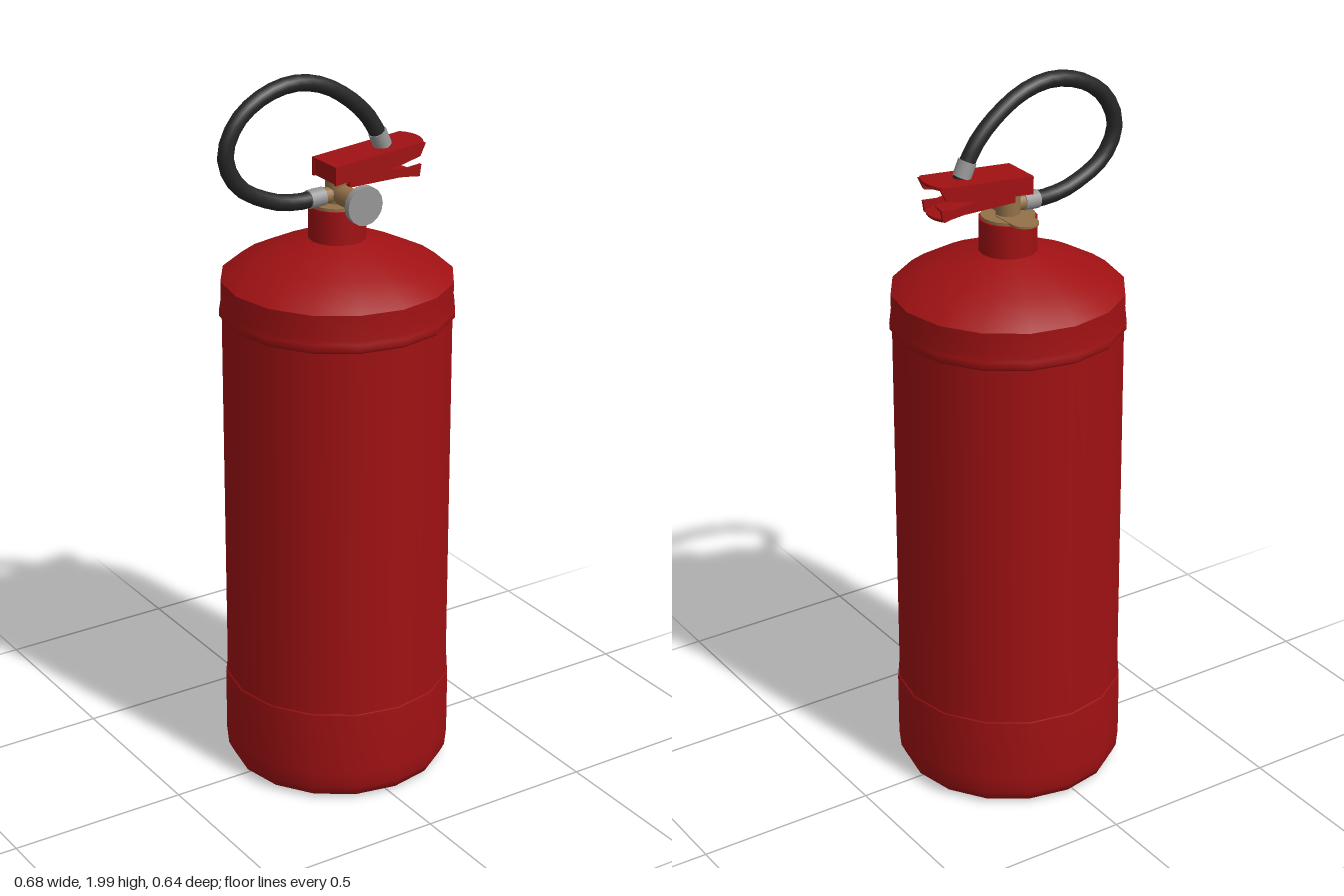
import * as THREE from 'three';

const CX = 0.022; // axis of the cylinder

const paint = (name, color) => {
  const m = new THREE.MeshStandardMaterial({ color });
  m.name = name;
  return m;
};

export function createModel() {
  const red = paint('red enamel', 0xa01113);
  const brass = paint('brass', 0x93724a);
  const black = paint('black rubber', 0x262626);
  const steel = paint('steel', 0x969696);
  const group = new THREE.Group();
  group.name = 'fireExtinguisher';

  const add = (name, geometry, material, x = 0, y = 0, z = 0) => {
    const mesh = new THREE.Mesh(geometry, material);
    mesh.name = name;
    mesh.position.set(x, y, z);
    group.add(mesh);
    return mesh;
  };
  const lathe = (name, points, material) =>
    add(name, new THREE.LatheGeometry(points.map(([r, y]) => new THREE.Vector2(r, y)), 16), material, CX);
  // Cylinder running between two points
  const rod = (name, a, b, r, material, r2 = r) => {
    const from = new THREE.Vector3(...a), to = new THREE.Vector3(...b);
    const dir = to.clone().sub(from);
    const mesh = add(name, new THREE.CylinderGeometry(r2, r, dir.length(), 16), material);
    mesh.position.copy(from).add(to).multiplyScalar(0.5);
    mesh.quaternion.setFromUnitVectors(new THREE.Vector3(0, 1, 0), dir.normalize());
    return mesh;
  };

  // Tank: base cup, wall, shoulder bead, dome and neck
  lathe('baseCup', [[0, 0.005], [0.27, 0.005], [0.298, 0.014], [0.311, 0.04], [0.316, 0.09], [0.316, 0.27], [0.311, 0.272]], red);
  lathe('tankWall', [[0.311, 0.26], [0.311, 1.345]], red);
  lathe('shoulder', [[0.311, 1.33], [0.318, 1.338], [0.318, 1.356], [0.313, 1.366], [0.313, 1.435]], red);
  lathe('dome', [[0.313, 1.435], [0.272, 1.464], [0.22, 1.49], [0.15, 1.52], [0.076, 1.542]], red);
  add('neck', new THREE.CylinderGeometry(0.078, 0.078, 0.1, 16), red, CX, 1.582);

  // Valve: round flange with a rounded rear tongue, and the stem
  const tag = new THREE.Shape();
  tag.moveTo(-0.038, 0);
  tag.lineTo(-0.038, -0.077);
  tag.absarc(0, -0.077, 0.038, Math.PI, Math.PI * 2, false);
  tag.lineTo(0.038, 0);
  const tongue = new THREE.ExtrudeGeometry(tag, { depth: 0.006, bevelEnabled: false });
  tongue.rotateX(Math.PI / 2);
  add('valveTongue', tongue, brass, CX, 1.642);
  add('valveFlange', new THREE.CylinderGeometry(0.072, 0.072, 0.008, 20), brass, CX, 1.636);
  add('valveStem', new THREE.CylinderGeometry(0.033, 0.033, 0.085, 16), brass, CX, 1.673);

  // Pressure gauge on a short brass arm
  const Y = 1.662;
  rod('gaugeArm', [CX, Y, 0], [CX, Y, 0.09], 0.028, brass);
  rod('gaugeSeal', [CX, Y, 0.088], [CX, Y, 0.108], 0.023, black);
  rod('gaugeCollar', [CX, Y, 0.105], [CX, Y, 0.118], 0.03, steel);
  rod('gaugeDial', [CX, Y, 0.115], [CX, Y, 0.134], 0.053, steel);

  // Levers: folded sheet with two side flanges
  const plate = (length, half, nose) => {
    const s = new THREE.Shape();
    s.moveTo(0, -half);
    s.lineTo(length - nose, -half);
    s.quadraticCurveTo(length + nose, 0, length - nose, half);
    s.lineTo(0, half);
    const g = new THREE.ExtrudeGeometry(s, { depth: 0.008, bevelEnabled: false, curveSegments: 6 });
    return g.rotateX(Math.PI / 2);
  };
  const flanges = (name, outline, half) => {
    const s = new THREE.Shape(outline.map(p => new THREE.Vector2(...p)));
    const g = new THREE.ExtrudeGeometry(s, { depth: 0.008, bevelEnabled: false });
    for (const z of [half - 0.008, -half]) add(name, g, red, 0, 0, z);
  };
  add('topLever', plate(0.294, 0.057, 0.018), red, -0.02, 1.752).rotation.z = 0.085;
  flanges('topLeverFlange', [[-0.02, 1.75], [-0.02, 1.702], [0.19, 1.725], [0.245, 1.738], [0.262, 1.772]], 0.057);
  add('topLeverHeel', new THREE.BoxGeometry(0.008, 0.045, 0.108), red, -0.014, 1.727);
  add('lowerHandle', plate(0.2, 0.048, 0.014), red, 0.03, 1.695);
  add('lowerHandleTip', plate(0.07, 0.048, 0.012), red, 0.19, 1.698).rotation.z = -0.2;
  flanges('lowerHandleFlange', [[0.03, 1.688], [0.16, 1.69], [0.25, 1.68], [0.255, 1.712], [0.21, 1.708], [0.16, 1.715], [0.03, 1.718]], 0.048);

  // Hose loop from the valve outlet back to the lever
  const Z = 0.003;
  const path = [[-0.055, 1.66], [-0.11, 1.66], [-0.18, 1.675], [-0.28, 1.732], [-0.318, 1.815], [-0.285, 1.9], [-0.21, 1.956],
    [-0.115, 1.978], [-0.025, 1.96], [0.06, 1.908], [0.118, 1.85], [0.153, 1.79]].map(([x, y]) => new THREE.Vector3(x, y, Z));
  add('hose', new THREE.TubeGeometry(new THREE.CatmullRomCurve3(path), 26, 0.022, 10), black);
  rod('hoseOutlet', [0.02, 1.662, Z], [-0.035, 1.662, Z], 0.022, brass);
  rod('hoseFerrule', [-0.025, 1.662, Z], [-0.07, 1.66, Z], 0.025, steel);
  rod('nozzleFerrule', [0.144, 1.808, Z], [0.162, 1.768, Z], 0.025, steel);
  rod('nozzleTip', [0.16, 1.776, Z], [0.168, 1.757, Z], 0.021, black);

  return group;
}
